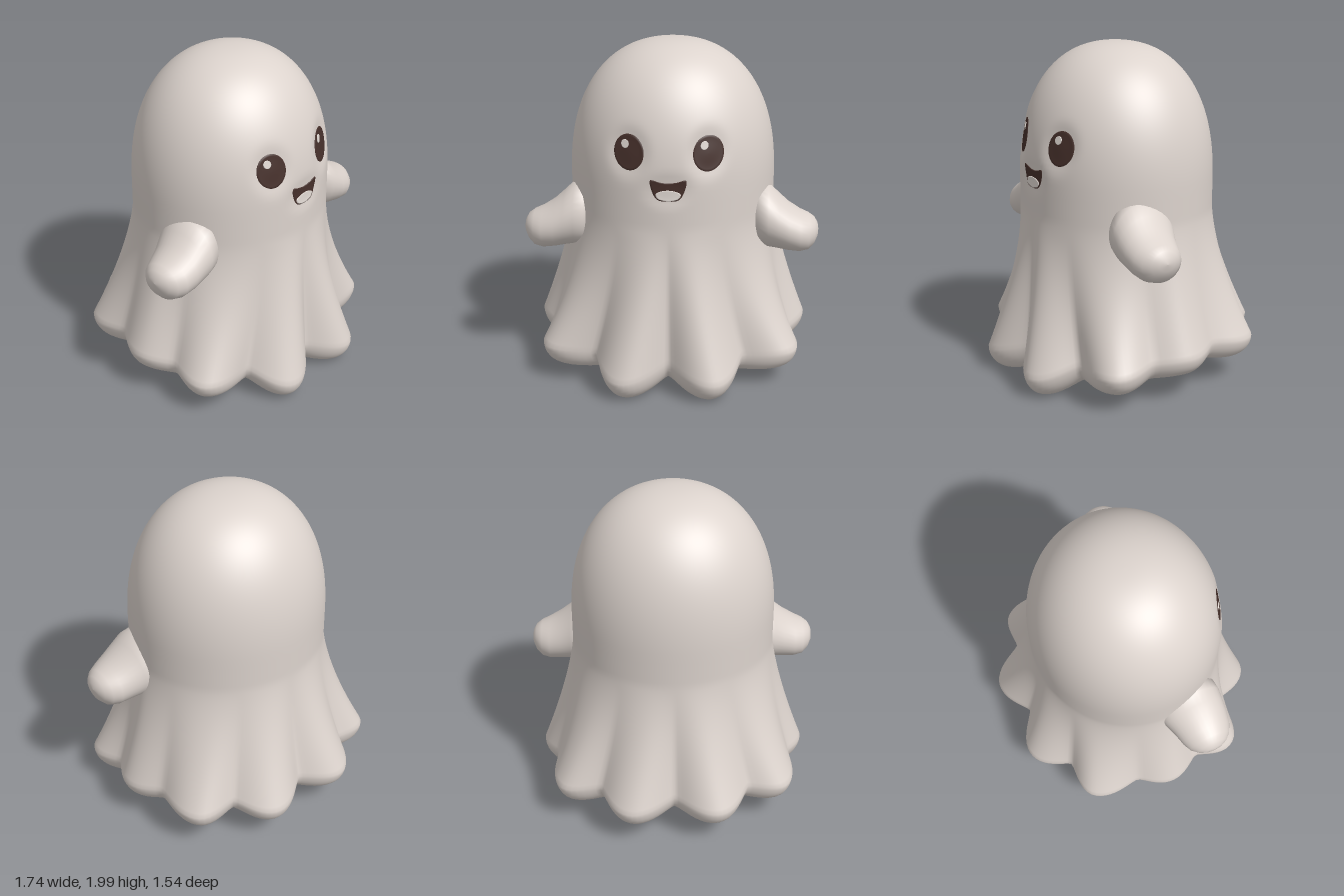
import * as THREE from 'three';

const TAU = Math.PI * 2;
const { lerp, clamp, radToDeg, smoothstep } = THREE.MathUtils;
const mat = (name, color) => {
  const m = new THREE.MeshStandardMaterial({ color });
  m.name = name;
  return m;
};

// Smooth skin through rows of points: point(row, angle) -> [x, y, z]
function loft(rows, cols, point) {
  const pos = [], idx = [];
  for (let i = 0; i < rows; i++) {
    for (let j = 0; j < cols; j++) {
      pos.push(...point(i, (j / cols) * TAU));
      if (i === rows - 1) continue;
      const a = i * cols + j, b = i * cols + (j + 1) % cols;
      idx.push(a, a + cols, b, a + cols, b + cols, b);
    }
  }
  const g = new THREE.BufferGeometry();
  g.setAttribute('position', new THREE.Float32BufferAttribute(pos, 3));
  g.setIndex(idx);
  g.computeVertexNormals();
  return g;
}

// Hem stations: angle from the front in degrees, radius, lowest height, flare power (notch, lobe, notch, ...)
const HEM = [
  [0, 0.62, 0.075, 1.4], [20.5, 0.808, 0.005, 1.4], [40, 0.675, 0.09, 1.5], [59, 0.865, 0.095, 1.75],
  [75, 0.745, 0.13, 1.75], [91, 0.812, 0.15, 1.4], [107, 0.75, 0.175, 1.4], [127, 0.86, 0.145, 1.5],
  [142, 0.72, 0.175, 1.4], [160, 0.82, 0.13, 1.4], [180, 0.665, 0.17, 1.4],
];

function hem(theta) {
  const deg = radToDeg(theta > Math.PI ? TAU - theta : theta);
  let k = 0;
  while (k < HEM.length - 2 && deg > HEM[k + 1][0]) k++;
  const [a, b] = [HEM[k], HEM[k + 1]];
  const u = clamp((deg - a[0]) / (b[0] - a[0]), 0, 1);
  // tight in the notch, round on the lobe
  const ease = (t) => Math.pow(Math.sin((t * Math.PI) / 2), 1.35);
  const w = k % 2 === 0 ? ease(u) : 1 - ease(1 - u);
  return { r: lerp(a[1], b[1], w), y: lerp(a[2], b[2], w), flare: lerp(a[3], b[3], w) };
}

// Upper body: a rounded dome on a slightly oval plan, with shallow eye sockets and mouth hollow
const R = 0.605, FLAT = 0.94, POW = 2.3, CZ = 0.012;
const EYE_X = 0.222, EYE_Y = 1.455, MOUTH_Y = 1.25;
const domeRadius = (y) => R * Math.pow(1 - Math.pow(Math.max(0, (y - 1.2) / 0.8), POW), 1 / POW);
const hollow = (dx, dy, rx, ry) => Math.exp(-(((dx / rx) ** 2 + (dy / ry) ** 2) ** 2));
const dent = (x, y) => 0.02 * hollow(Math.abs(x) - EYE_X, y - EYE_Y, 0.105, 0.125)
  + 0.012 * hollow(x, y - MOUTH_Y, 0.125, 0.085);
const faceZ = (x, y) => CZ + FLAT * Math.sqrt(domeRadius(y) ** 2 - x * x) - dent(x, y);

function bodyGeometry() {
  const DOME = 48, SKIRT = 36, LIP = 12, UNDER = 12;
  return loft(DOME + SKIRT + LIP + UNDER, 180, (i, th) => {
    const s = Math.sin(th), c = Math.cos(th);
    if (i < DOME) {
      const p = (1 - i / DOME) * Math.PI / 2;
      const r = i === 0 ? 0 : R * Math.pow(Math.cos(p), 2 / POW);
      const y = 1.2 + 0.8 * Math.pow(Math.sin(p), 2 / POW);
      return [r * s, y, CZ + FLAT * r * c - (c > 0 ? dent(r * s, y) : 0)];
    }
    const h = hem(th), lipY = h.y + 0.13;
    if (i < DOME + SKIRT) {
      // cloth flaring into folds that converge upwards at the front and back
      const y = lerp(1.2, lipY, (i - DOME) / SKIRT);
      const f = Math.pow(Math.max(0, (1.03 - y) / (1.03 - lipY)), h.flare);
      const pull = Math.abs(c) * (c > 0 ? 0.25 : 0.15) * (1 - smoothstep(y, 0.9, 1.2));
      const top = th - pull * Math.sin(2 * th);
      const z = CZ + FLAT * R * Math.cos(top) - (c > 0 ? dent(R * Math.sin(top), y) : 0);
      return [lerp(R * Math.sin(top), h.r * s, f), y, lerp(z, h.r * c, f)];
    }
    // rounded lip, then a nearly flat underside
    const a = Math.min(1, (i - DOME - SKIRT) / (LIP - 1)) * Math.PI * 0.6;
    let r = h.r - 0.13 * (1 - Math.cos(a)), y = lipY - 0.13 * Math.sin(a);
    if (i >= DOME + SKIRT + LIP) {
      const t = (i - DOME - SKIRT - LIP + 1) / UNDER, k = Math.min(1, t * 1.8);
      r = (1 - t) * lerp(r, 0.6, k);
      y = lerp(y, 0.175 - 0.08 * r * c, Math.sin((k * Math.PI) / 2));
    }
    return [r * s, y, r * c];
  });
}

// Stubby arm from tip to buried root: x, centre y, centre z, half height, half depth
const ARM = [
  [0.87, 0.905, 0.205, 0, 0], [0.864, 0.903, 0.205, 0.04, 0.05], [0.845, 0.898, 0.205, 0.078, 0.09],
  [0.81, 0.892, 0.205, 0.108, 0.128], [0.76, 0.897, 0.205, 0.124, 0.153], [0.69, 0.922, 0.2, 0.143, 0.17],
  [0.63, 0.952, 0.188, 0.165, 0.185], [0.57, 0.982, 0.175, 0.19, 0.2], [0.51, 1.0, 0.17, 0.19, 0.195],
  [0.45, 1.0, 0.15, 0.16, 0.13],
];
const armGeometry = (side) => loft(ARM.length, 32, (i, th) => {
  const [x, y, z, ry, rz] = ARM[i];
  return [side * x, y + ry * Math.cos(th), z + side * rz * Math.sin(th)];
});

// Thin plate hugging the face, with an optional slight dome
function plate(outline, cx, cy, lift, dome = 0) {
  const N = 8;
  return loft(N + 2, 48, (i, th) => {
    const s = Math.min(1, i / N), [ox, oy] = outline(th);
    const x = cx + (ox - cx) * s, y = cy + (oy - cy) * s;
    const out = i > N ? -0.003 : lift + dome * (1 - s * s);
    return [x, y, faceZ(x, y) + out];
  });
}
const oval = (cx, cy, rx, ry) => (th) => [cx + rx * Math.cos(th), cy + ry * Math.sin(th)];

// Closed curve through a mirrored half outline, from top right to bottom middle
function mirroredOutline(top, right, bottomY, topY) {
  const flip = (list) => list.map(([x, y]) => [-x, y]);
  const pts = [...top, [0, topY], ...flip(top).reverse(), ...flip(right), [0, bottomY], ...[...right].reverse()];
  const curve = new THREE.CatmullRomCurve3(pts.map(([x, y]) => new THREE.Vector3(x, y, 0)), true);
  return (th) => {
    const p = curve.getPoint(th / TAU);
    return [p.x, p.y];
  };
}

export function createModel() {
  const cloth = mat('warm grey cloth', 0xdcd3cd);
  const dark = mat('dark brown', 0x46302b);
  const light = mat('pale highlight', 0xe2dad4);

  const model = new THREE.Group();
  model.name = 'ghost';
  const add = (name, geometry, material) => {
    const mesh = new THREE.Mesh(geometry, material);
    mesh.name = name;
    model.add(mesh);
  };

  add('body', bodyGeometry(), cloth);

  for (const [label, side] of [['left', 1], ['right', -1]]) {
    add(label + 'Arm', armGeometry(side), cloth);
    const x = side * EYE_X;
    add(label + 'Eye', plate(oval(x, EYE_Y, 0.085, 0.1), x, EYE_Y, 0.004, 0.004), dark);
    // both glints sit towards the same side
    const gx = x - 0.022;
    add(label + 'EyeGlint', plate(oval(gx, 1.5, 0.022, 0.024), gx, 1.5, 0.0095), light);
  }

  // Open smiling mouth with a pale tongue
  const mouth = mirroredOutline([[0.1, 1.312], [0.05, 1.3]], [[0.092, 1.25], [0.062, 1.2]], 1.19, 1.294);
  add('mouth', plate(mouth, 0, MOUTH_Y, 0.004), dark);
  const tongue = mirroredOutline([[0.07, 1.232], [0.04, 1.248]], [[0.068, 1.217], [0.055, 1.203]], 1.193, 1.254);
  add('tongue', plate(tongue, 0, 1.222, 0.007), light);

  return model;
}
